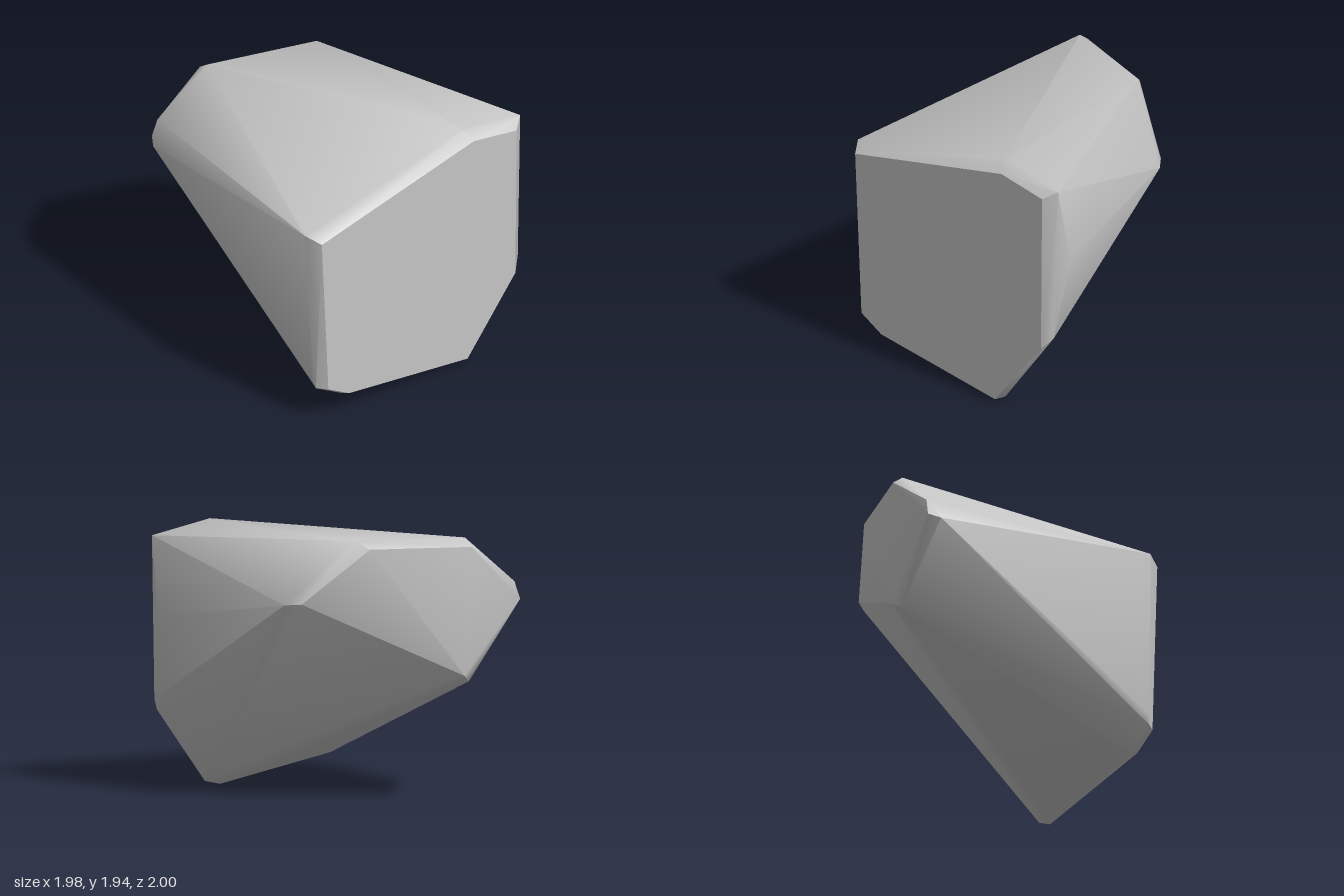
import * as THREE from 'three';
import { ConvexGeometry } from 'three/addons/geometries/ConvexGeometry.js';
import { toCreasedNormals } from 'three/addons/utils/BufferGeometryUtils.js';

// Corners of the flat front face (x, y); the face turns slightly towards the left
const frontFace = [
  [-0.92, 1.55], [0.48, 1.87], [0.87, 1.80], [0.86, 0.58],
  [0.42, 0.02], [-0.67, 0.17], [-0.86, 0.28],
];

// Chamfer ring just behind the front face
const frontChamfer = [
  [-0.99, 1.60, 0.89], [0.44, 1.94, 0.90], [0.96, 1.86, 0.91],
  [0.985, 1.28, 0.805], [0.93, 0.67, 0.92], [0.46, 0.03, 0.92],
  [0.34, 0.00, 0.91], [-0.68, 0.14, 0.93], [-0.92, 0.28, 0.93], [-0.94, 0.36, 0.90],
];

// Worn corners of the back, each cut by a narrow chamfer
const backCorners = [
  [0.33, 1.94, -0.66], [0.26, 1.88, -0.75],
  [-0.47, 1.925, -0.92], [-0.47, 1.865, -1.00],
  [0.77, 1.48, -0.40], [0.69, 1.49, -0.50],
  [-0.87, 1.58, -0.985], [-0.91, 1.45, -1.00], [-0.96, 1.42, -0.92],
  [-0.42, 0.93, -0.98], [-0.49, 0.88, -0.94],
];

// Triangles of the hull that lie on the front face, or all the others
function pickTriangles(hull, onFront) {
  const p = hull.attributes.position.array;
  const picked = [];
  for (let i = 0; i < p.length; i += 9) {
    const isFront = Math.min(p[i + 2], p[i + 5], p[i + 8]) > 0.97;
    if (isFront === onFront) picked.push(...p.slice(i, i + 9));
  }
  const geometry = new THREE.BufferGeometry();
  geometry.setAttribute('position', new THREE.Float32BufferAttribute(picked, 3));
  return geometry;
}

export function createModel() {
  const group = new THREE.Group();
  group.name = 'rock';

  const stone = new THREE.MeshStandardMaterial({ color: 0xc4c4c4 });
  stone.name = 'grey stone';

  const points = [
    ...frontFace.map(([x, y]) => [x, y, 0.99 - 0.009 * x]),
    ...frontChamfer,
    ...backCorners,
  ].map((p) => new THREE.Vector3(...p));
  const hull = new ConvexGeometry(points);

  // The split front stays flat; the body bends softly and is sharp only at strong edges
  for (const [name, onFront] of [['frontFace', true], ['body', false]]) {
    const mesh = new THREE.Mesh(toCreasedNormals(pickTriangles(hull, onFront), 0.78), stone);
    mesh.name = name;
    group.add(mesh);
  }
  return group;
}
